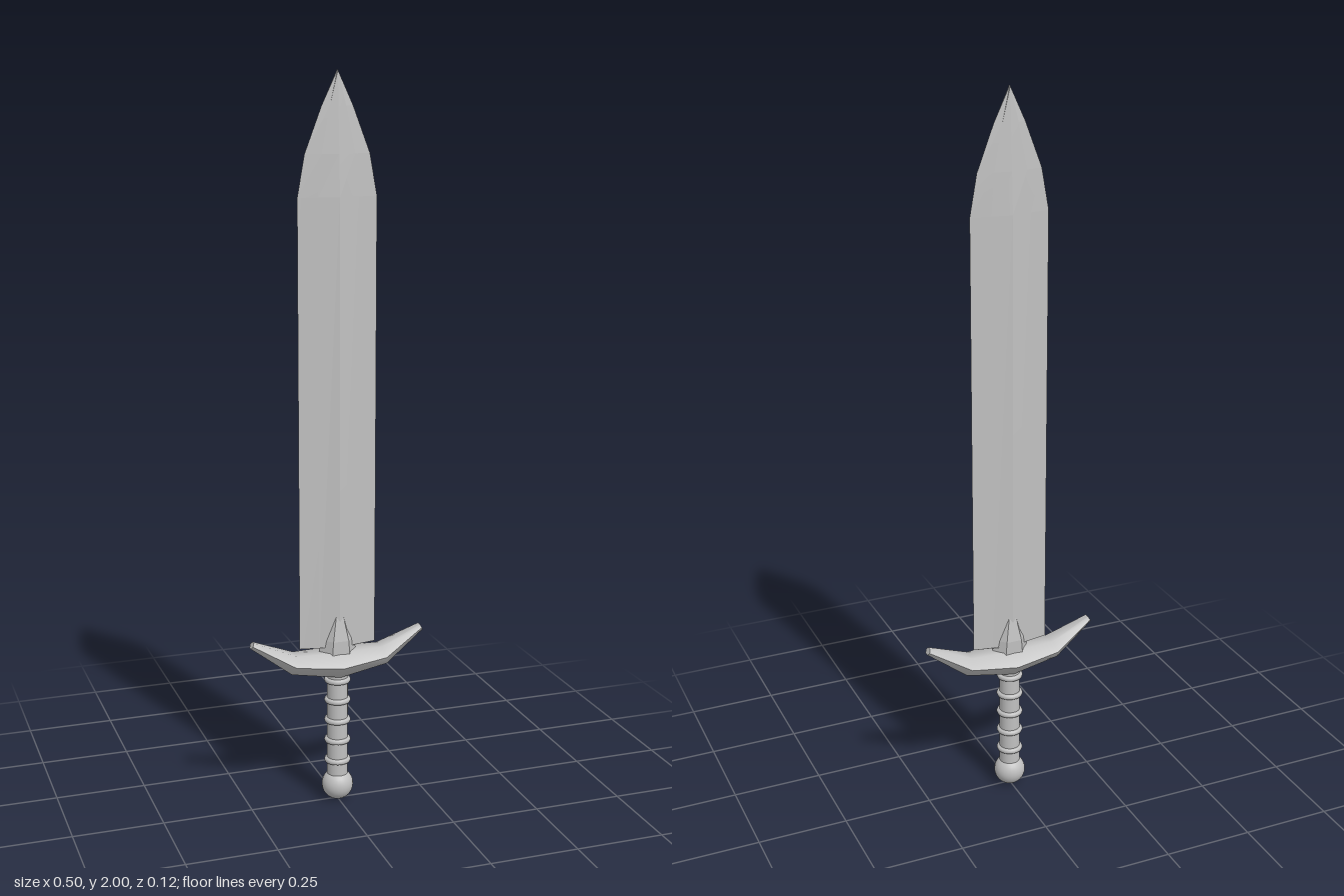
import * as THREE from 'three';
import { toCreasedNormals } from 'three/addons/utils/BufferGeometryUtils.js';

// Skin a list of closed cross-sections (arrays of [x, y, z]) and cap both ends.
function loft(rings, crease) {
  const n = rings[0].length;
  const pos = rings.flat(2);
  const index = [];
  for (let r = 0; r < rings.length - 1; r++) {
    for (let i = 0; i < n; i++) {
      const a = r * n + i, b = r * n + (i + 1) % n;
      index.push(a, a + n, b, b, a + n, b + n);
    }
  }
  const last = (rings.length - 1) * n;
  for (let i = 1; i < n - 1; i++) {
    index.push(0, i, i + 1);
    index.push(last, last + i + 1, last + i);
  }
  const g = new THREE.BufferGeometry();
  g.setAttribute('position', new THREE.Float32BufferAttribute(pos, 3));
  g.setIndex(index);
  return toCreasedNormals(g, crease);
}

export function createModel() {
  const sword = new THREE.Group();
  sword.name = 'sword';
  const steel = new THREE.MeshStandardMaterial({ color: 0xc0c0c0 });
  steel.name = 'steel grey';

  const add = (name, geometry, y = 0) => {
    const mesh = new THREE.Mesh(geometry, steel);
    mesh.name = name;
    mesh.position.y = y;
    sword.add(mesh);
    return mesh;
  };

  // Blade: [height, half width, ridge x, ridge depth, centre depth]
  const blade = [
    [0.455, 0.109, 0.055, 0.01, 0.024],
    [1.68, 0.109, 0.055, 0.01, 0.021],
    [1.79, 0.089, 0.045, 0.009, 0.016],
    [1.91, 0.043, 0.022, 0.006, 0.009],
    [2.0, 0.001, 0.0005, 0.003, 0.005],
  ].map(([y, w, m, a, t]) => [
    [w, y, 0], [m, y, a], [0, y, t], [-m, y, a],
    [-w, y, 0], [-m, y, -a], [0, y, -t], [m, y, -a],
  ]);
  add('blade', loft(blade, 0.03));

  // Collar that tapers up onto the blade: [height, half width, face half width, depth]
  const collar = [
    [0.42, 0.056, 0.026, 0.033],
    [0.475, 0.048, 0.022, 0.033],
    [0.545, 0.02, 0.01, 0.021],
  ].map(([y, w, f, d]) => [
    [w, y, 0], [f, y, d], [-f, y, d], [-w, y, 0], [-f, y, -d], [f, y, -d],
  ]);
  add('bladeCollar', loft(collar, 0.1));

  // Crossguard: hexagonal sections [x, centre height, half height, half depth, lean]
  const half = [
    [0, 0.406, 0.036, 0.06, 0],
    [0.13, 0.417, 0.025, 0.043, 0.008],
    [0.245, 0.482, 0.008, 0.014, 0.004],
  ];
  const mirrored = half.slice(1).reverse().map(([x, ...s]) => [-x, ...s]);
  const guard = [...mirrored, ...half].map(([x, y, h, d, lean]) =>
    Array.from({ length: 6 }, (_, i) => {
      const t = (i * Math.PI) / 3;
      const v = Math.sin(t) / Math.sin(Math.PI / 3);
      return [x - Math.sign(x) * lean * v, y + v * h, Math.cos(t) * d];
    }));
  add('crossguard', loft(guard, 1.2));

  // Grip with raised rings
  add('grip', new THREE.CylinderGeometry(0.029, 0.029, 0.32, 24), 0.23);
  for (const y of [0.118, 0.178, 0.237, 0.296, 0.355]) {
    const ring = new THREE.TorusGeometry(0.029, 0.008, 8, 24);
    ring.rotateX(Math.PI / 2);
    add('gripRing', ring, y);
  }

  // Pommel
  add('pommel', new THREE.SphereGeometry(0.044, 24, 16), 0.044);

  return sword;
}
